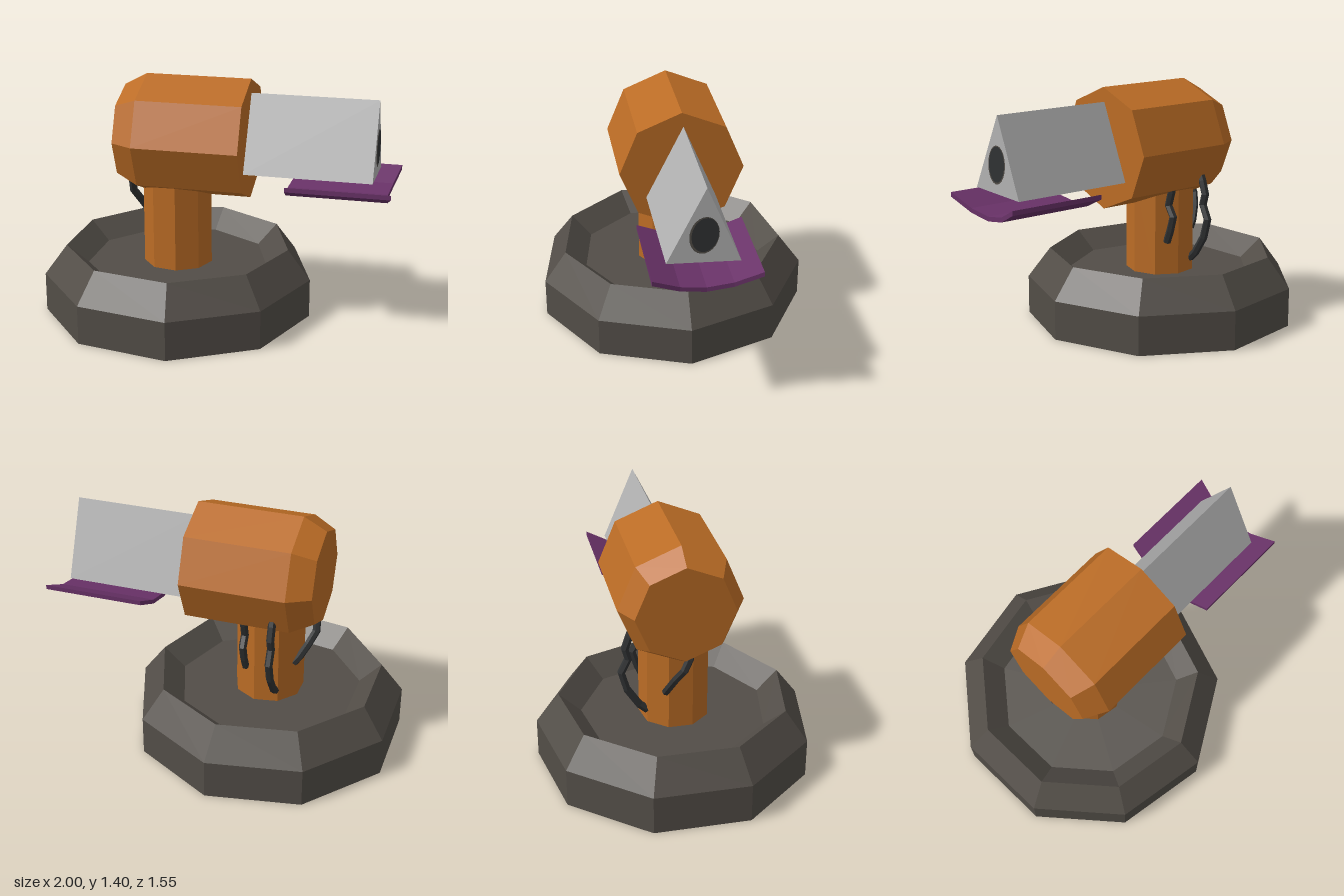
import * as THREE from 'three';

const flat = (name, color, side = THREE.FrontSide) => {
  const m = new THREE.MeshStandardMaterial({ color, flatShading: true, side });
  m.name = name;
  return m;
};

const stone = flat('dark stone', 0x524d47, THREE.DoubleSide);
const orange = flat('orange paint', 0xbb6c25, THREE.DoubleSide);
const silver = flat('silver grey', 0xb2b2b2);
const purple = flat('purple', 0x693268);
const black = flat('cable black', 0x303233);

const CX = -0.26; // axis of base and column

const lathe = (pts, sides) => new THREE.LatheGeometry(
  pts.map(([r, y]) => new THREE.Vector2(r, y)), sides, Math.PI / 2);

// Rectangular slab swept across z: stations are [z, topY, backX, frontX]
function sweptPlate(stations, thickness) {
  const pos = [], idx = [];
  for (const [z, y, x0, x1] of stations) {
    pos.push(x0, y, z, x1, y, z, x1, y - thickness, z, x0, y - thickness, z);
  }
  const last = (stations.length - 1) * 4;
  for (let i = 0; i < last; i += 4) {
    for (let j = 0; j < 4; j++) {
      const a = i + j, b = i + (j + 1) % 4;
      idx.push(a, b, b + 4, a, b + 4, a + 4);
    }
  }
  idx.push(0, 3, 2, 0, 2, 1, last, last + 1, last + 2, last, last + 2, last + 3);
  const g = new THREE.BufferGeometry();
  g.setAttribute('position', new THREE.Float32BufferAttribute(pos, 3));
  g.setIndex(idx);
  g.computeVertexNormals();
  return g;
}

// Kinked tube with one ring at each path point
function kinkedTube(points, radius) {
  const curve = new THREE.CatmullRomCurve3(points.map(p => new THREE.Vector3(...p)));
  curve.getPointAt = (t, target) => curve.getPoint(t, target);
  curve.getTangentAt = (t, target) => curve.getTangent(t, target);
  return new THREE.TubeGeometry(curve, points.length - 1, radius, 6, false);
}

export function createModel() {
  const model = new THREE.Group();
  model.name = 'swivelMount';
  const add = (name, geometry, material) => {
    const mesh = new THREE.Mesh(geometry, material);
    mesh.name = name;
    model.add(mesh);
    return mesh;
  };

  // Nine-sided hollow base with a sunken floor
  add('base', lathe([[0.786, 0], [0.786, 0.225], [0.655, 0.4], [0.53, 0.29], [0, 0.29]], 9), stone)
    .position.x = CX;

  // Open column poking slightly through the floor
  add('column', lathe([[0.2, 0.265], [0.2, 0.86]], 9), orange).position.x = CX;

  // Octagonal head lying along x, bevelled at the rear
  const head = lathe([[0, -0.565], [0.277, -0.565], [0.347, -0.435], [0.347, 0.17], [0, 0.17]], 8);
  head.rotateZ(-Math.PI / 2);
  add('head', head, orange).position.y = 1.052;

  // Triangular barrel
  const triangle = new THREE.Shape([[0.008, 1.317], [-0.2, 0.9], [0.19, 0.885]]
    .map(([x, y]) => new THREE.Vector2(x, y)));
  const barrel = new THREE.ExtrudeGeometry(triangle, { depth: 0.72, bevelEnabled: false });
  barrel.rotateY(Math.PI / 2);
  add('barrel', barrel, silver).position.x = 0.17;

  // Oval lens with a thin rim on the barrel end
  const oval = (name, rx, ry, x, y, z, material) => {
    const g = new THREE.CircleGeometry(1, 24);
    g.scale(rx, ry, 1).rotateZ(-0.15).rotateY(Math.PI / 2);
    add(name, g, material).position.set(x, y, z);
  };
  oval('lensRim', 0.077, 0.106, 0.892, 1.05, 0.004, stone);
  oval('lens', 0.07, 0.098, 0.895, 1.053, 0, black);

  // Curved tray under the barrel
  add('tray', sweptPlate([
    [0.288, 0.872, 0.42, 1.0],
    [0.14, 0.805, 0.4, 0.968],
    [0, 0.782, 0.387, 0.956],
    [-0.14, 0.805, 0.4, 0.968],
    [-0.288, 0.872, 0.42, 1.0],
  ], 0.026), purple);

  // Kinked cables hanging from the head to the column and floor
  const cables = {
    sideCable: [[-0.163, 0.83, -0.21], [-0.163, 0.784, -0.203], [-0.163, 0.705, -0.18],
      [-0.163, 0.643, -0.22], [-0.163, 0.556, -0.195], [-0.165, 0.485, -0.165]],
    longCable: [[-0.344, 0.88, -0.25], [-0.344, 0.84, -0.268], [-0.344, 0.763, -0.293],
      [-0.344, 0.7, -0.275], [-0.344, 0.618, -0.315], [-0.344, 0.506, -0.284],
      [-0.344, 0.4, -0.215], [-0.344, 0.36, -0.17]],
    rearCable: [[-0.51, 0.82, 0.04], [-0.525, 0.76, 0.03], [-0.53, 0.695, 0],
      [-0.497, 0.626, -0.04], [-0.455, 0.55, -0.07], [-0.425, 0.51, -0.08]],
  };
  for (const [name, path] of Object.entries(cables)) add(name, kinkedTube(path, 0.023), black);

  return model;
}
